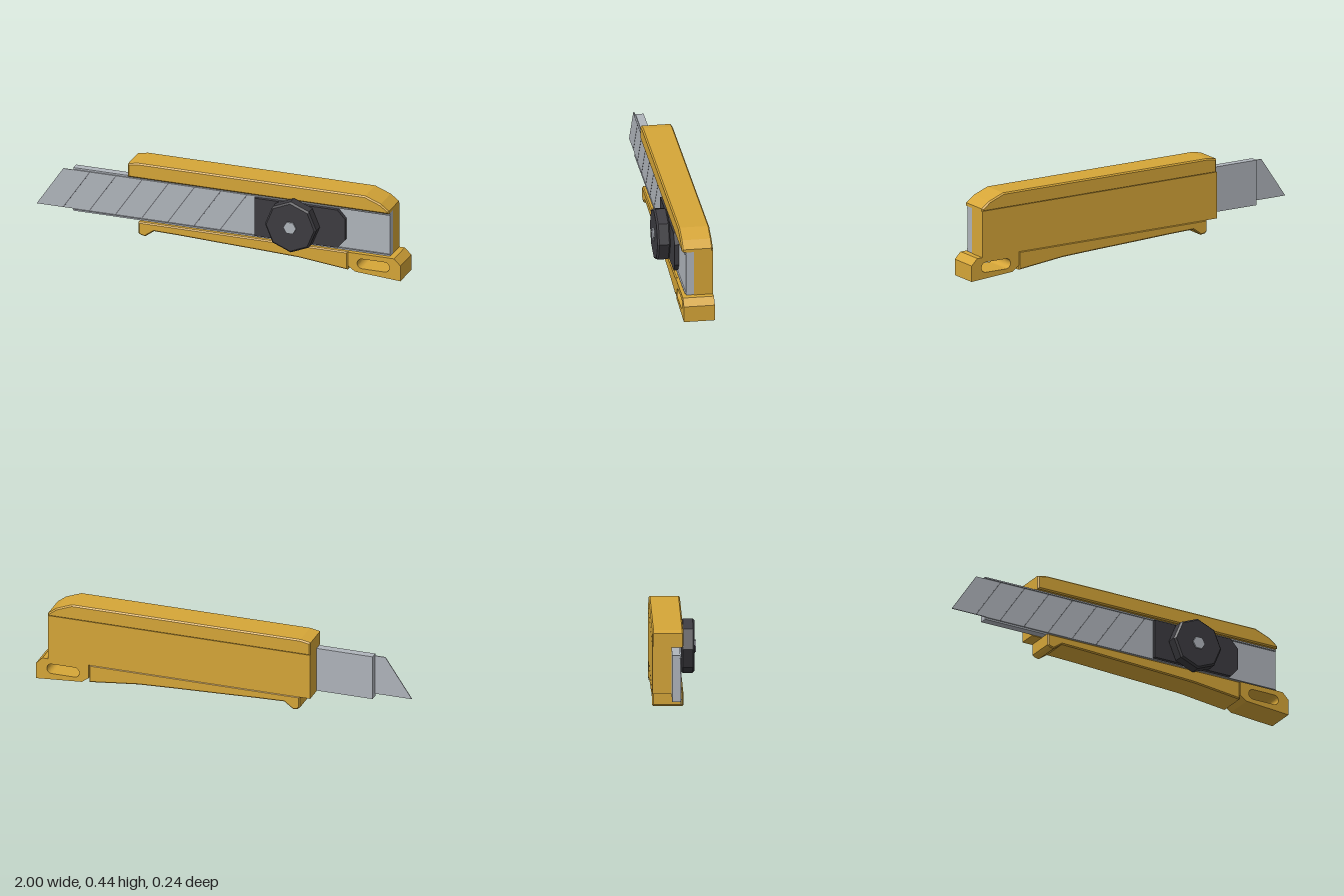
import * as THREE from 'three';

const material = (name, color) => {
  const m = new THREE.MeshStandardMaterial({ color });
  m.name = name;
  return m;
};

export function createModel() {
  const model = new THREE.Group();
  model.name = 'utilityKnife';
  const gold = material('goldPlastic', 0xd6a638);
  const steel = material('steel', 0xb0b5bc);
  const black = material('blackPlastic', 0x3c3b40);
  const score = material('scoreLine', 0x6a6d72);
  const BACK = -0.118, FRONT = 0.043, SEAT = 0.022;

  // Extrudes an outline from z0 to z1; the bevel stays inside the outline
  const plate = (name, outline, z0, z1, mat, bevel = 0, holes = []) => {
    const shape = new THREE.Shape(outline.map(([x, y]) => new THREE.Vector2(x, y)));
    shape.holes.push(...holes);
    const geometry = new THREE.ExtrudeGeometry(shape, {
      depth: z1 - z0 - 2 * bevel, bevelEnabled: bevel > 0, bevelSize: bevel,
      bevelThickness: bevel, bevelOffset: -bevel, bevelSegments: 1, curveSegments: 8,
    });
    geometry.translate(0, 0, z0 + bevel);
    const mesh = new THREE.Mesh(geometry, mat);
    mesh.name = name;
    model.add(mesh);
  };
  const rect = (x0, y0, x1, y1) => [[x0, y0], [x1, y0], [x1, y1], [x0, y1]];
  const polygon = (cx, cy, r, n) => Array.from({ length: n }, (_, i) => {
    const a = (i / n) * Math.PI * 2;
    return [cx + r * Math.cos(a), cy + r * Math.sin(a)];
  });

  // Handle: back slab, top rail and lower grip
  plate('handleBack', rect(-0.495, 0.119, 0.935, 0.366), BACK, -0.02, gold);
  plate('topRail', [
    [-0.495, 0.362], [0.935, 0.362], [0.935, 0.378], [0.89, 0.412],
    [0.805, 0.445], [-0.44, 0.445], [-0.495, 0.435],
  ], BACK, FRONT, gold, 0.007);
  plate('lowerGrip', [
    [-0.437, 0.12], [-0.437, 0.058], [-0.425, 0.048], [-0.4, 0.044], [-0.352, 0.079],
    [-0.2, 0.075], [0, 0.067], [0.25, 0.058], [0.44, 0.05], [0.71, 0.021], [0.71, 0.12],
  ], BACK, FRONT, gold, 0.006);

  // Tail block with a rounded lanyard slot
  const slot = new THREE.Path();
  slot.absarc(0.79, 0.066, 0.027, Math.PI / 2, Math.PI * 1.5, false);
  slot.absarc(0.913, 0.066, 0.027, -Math.PI / 2, Math.PI / 2, false);
  slot.closePath();
  plate('tailBlock', [
    [0.712, 0.12], [0.712, 0.045], [0.75, 0.018], [1, 0], [1, 0.085], [0.965, 0.12],
  ], BACK, FRONT, gold, 0, [slot]);

  // Steel channel with narrow lips along both edges
  plate('bladeChannel', rect(-0.8, 0.122, 0.935, 0.362), -0.02, SEAT, steel);
  for (const y of [0.131, 0.35]) plate('channelLip', rect(-0.8, y, 0.935, y + 0.003), SEAT, 0.029, steel);

  // Snap-off blade with slanted score lines
  plate('blade', [[-1, 0.135], [0.25, 0.135], [0.25, 0.35], [-0.855, 0.35]], 0.02, 0.025, steel);
  for (let i = 0; i < 7; i++) {
    const x = -0.713 + i * 0.1435;
    plate('bladeScore', [[x - 0.145, 0.136], [x - 0.139, 0.136], [x + 0.006, 0.349], [x, 0.349]], 0.0245, 0.0258, score);
  }

  // Slider, octagonal lock wheel and hexagonal bolt
  plate('slider', [
    [0.2, 0.137], [0.655, 0.137], [0.698, 0.185], [0.698, 0.3], [0.655, 0.347], [0.2, 0.347],
  ], SEAT, FRONT + 0.002, black);
  plate('lockWheel', polygon(0.421, 0.241, 0.141, 8), FRONT, 0.112, black, 0.009);
  plate('wheelBolt', polygon(0.421, 0.241, 0.035, 6), 0.105, 0.12, steel);

  return model;
}
